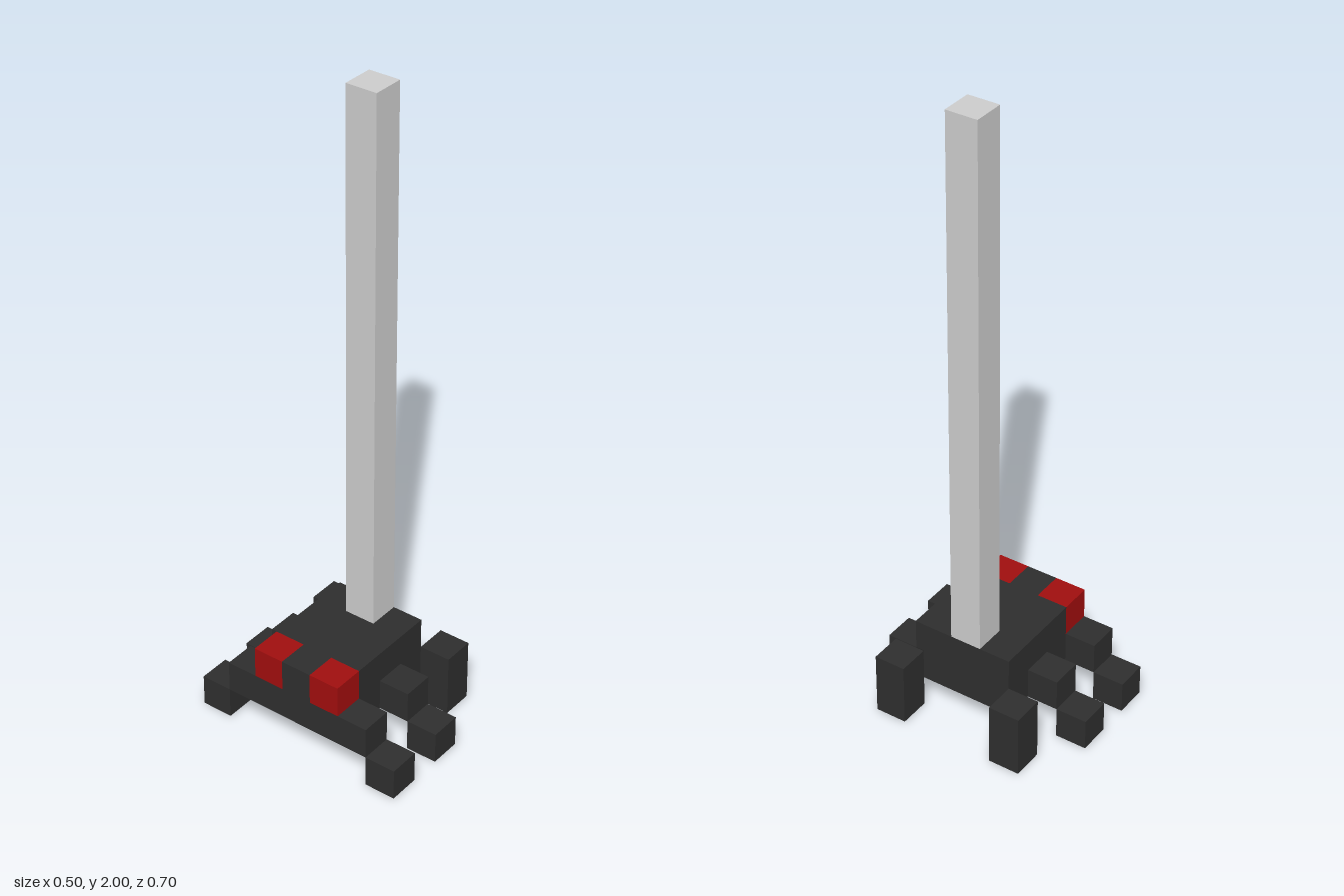
import * as THREE from 'three';

export function createModel() {
  const model = new THREE.Group();
  model.name = 'hangingSpider';

  const material = (name, color) => {
    const m = new THREE.MeshStandardMaterial({ color });
    m.name = name;
    return m;
  };
  const black = material('charcoal', 0x2e2e2e);
  const red = material('eye red', 0xa00e0e);
  const grey = material('thread grey', 0xcccccc);

  // Box given by its minimum and maximum corners
  const block = (name, mat, [x0, y0, z0], [x1, y1, z1], parent = model) => {
    const mesh = new THREE.Mesh(new THREE.BoxGeometry(x1 - x0, y1 - y0, z1 - z0), mat);
    mesh.position.set((x0 + x1) / 2, (y0 + y1) / 2, (z0 + z1) / 2);
    mesh.name = name;
    parent.add(mesh);
  };

  // Body, notched at the upper corners to seat the eyes
  block('lowerBody', black, [-0.25, 0.1, -0.15], [0.15, 0.2, 0.15]);
  block('upperBody', black, [-0.15, 0.2, -0.15], [0.15, 0.3, 0.15]);
  block('brow', black, [-0.25, 0.2, -0.05], [-0.15, 0.3, 0.05]);

  // Thread rising from the rear of the body
  block('thread', grey, [0.05, 0.3, -0.05], [0.15, 2, 0.05]);

  // Eyes and legs on both sides
  for (const side of [-1, 1]) {
    const paired = (name, mat, x, y0, y1, z, parent) =>
      block(name, mat, [x - 0.05, y0, side * z - 0.05], [x + 0.05, y1, side * z + 0.05], parent);

    paired('eye', red, -0.2, 0.2, 0.3, 0.1);

    // Stepped front and middle legs
    for (const [name, x] of [['frontLeg', -0.2], ['middleLeg', 0]]) {
      const leg = new THREE.Group();
      leg.name = name;
      paired('upperLeg', black, x, 0.1, 0.2, 0.2, leg);
      paired('foot', black, x, 0, 0.1, 0.3, leg);
      model.add(leg);
    }

    // Straight rear leg set off the body corner
    paired('rearLeg', black, 0.2, 0, 0.2, 0.2);
  }

  return model;
}
